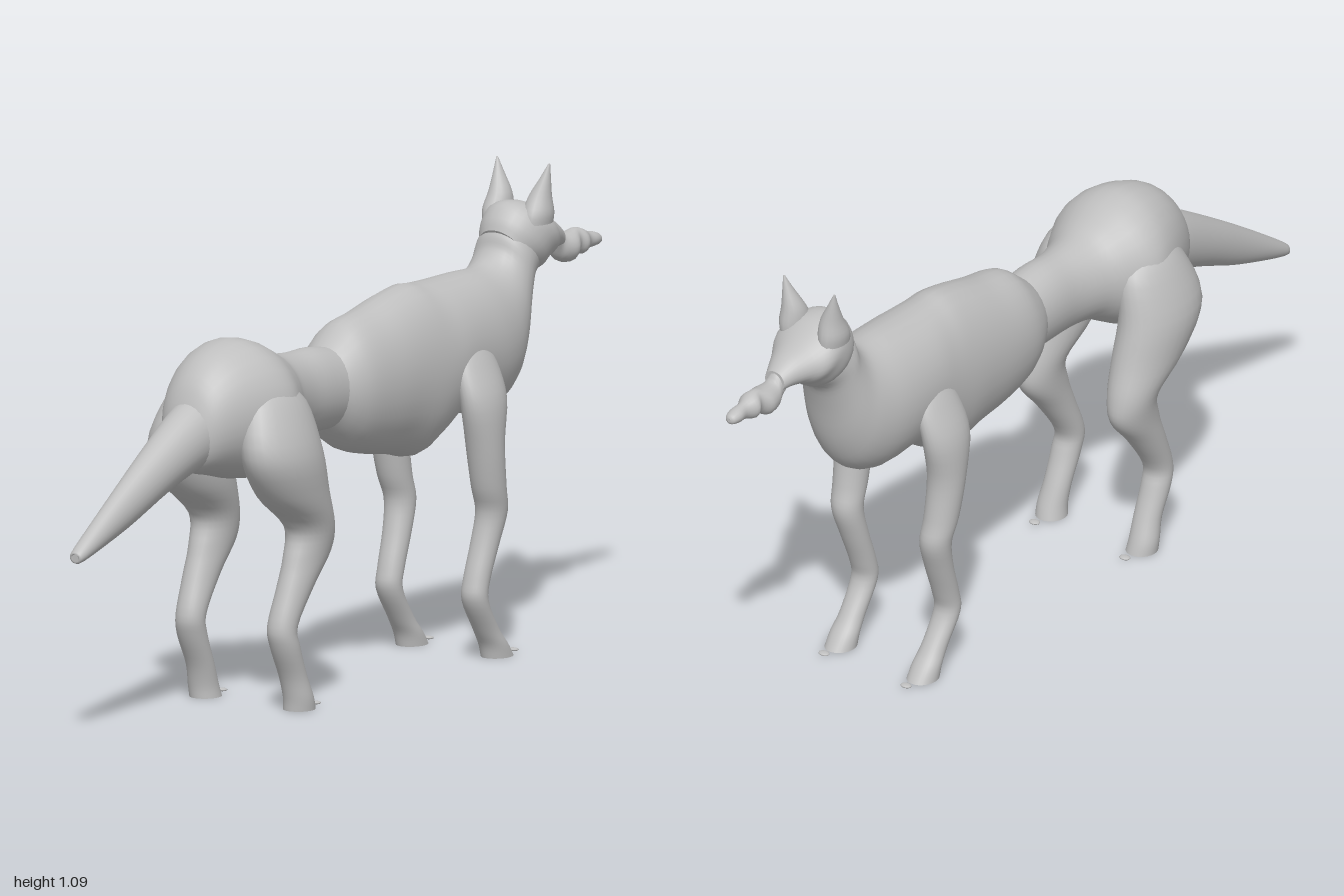
import * as THREE from 'three';

const coat = new THREE.MeshStandardMaterial({ color: 0xbfbfbf });
coat.name = 'greyCoat';

// Uniform Catmull-Rom through four numbers.
const spline = (a, b, c, d, t) =>
  0.5 * (2 * b + (c - a) * t + (2 * a - 5 * b + 4 * c - d) * t * t + (3 * b - a - 3 * c + d) * t ** 3);

// Skin over oval rings: [z1, y1, z2, y2, halfWidth, centreX].
// Points 1 and 2 are opposite ends of each ring in the side plane.
function loft(name, rings, steps = 4, segments = 28) {
  const rows = [];
  const last = rings.length - 1;
  for (let i = 0; i < last; i++) {
    const four = [rings[Math.max(i - 1, 0)], rings[i], rings[i + 1], rings[Math.min(i + 2, last)]];
    for (let s = 0; s < steps; s++) {
      rows.push([0, 1, 2, 3, 4, 5].map((k) => spline(...four.map((r) => r[k] ?? 0), s / steps)));
    }
  }
  rows.push([0, 1, 2, 3, 4, 5].map((k) => rings[last][k] ?? 0));

  const pos = [];
  const index = [];
  for (const [z1, y1, z2, y2, w, cx] of rows) {
    for (let j = 0; j < segments; j++) {
      const t = (j / segments) * Math.PI * 2;
      const c = Math.cos(t) / 2;
      pos.push(cx + Math.sin(t) * w, (y1 + y2) / 2 + (y1 - y2) * c, (z1 + z2) / 2 + (z1 - z2) * c);
    }
  }
  for (let i = 0; i < rows.length - 1; i++) {
    for (let j = 0; j < segments; j++) {
      const k = (j + 1) % segments;
      const a = i * segments + j, b = i * segments + k;
      index.push(a, b, a + segments, b, b + segments, a + segments);
    }
  }
  // End caps, with their own vertices so the edge stays crisp
  for (const [row, flip] of [[0, true], [rows.length - 1, false]]) {
    const start = pos.length / 3;
    const from = row * segments * 3;
    pos.push(...pos.slice(from, from + segments * 3));
    const [z1, y1, z2, y2, , cx] = rows[row];
    pos.push(cx, (y1 + y2) / 2, (z1 + z2) / 2);
    for (let j = 0; j < segments; j++) {
      const a = start + j, b = start + ((j + 1) % segments), m = start + segments;
      index.push(...(flip ? [b, a, m] : [a, b, m]));
    }
  }
  const geo = new THREE.BufferGeometry();
  geo.setAttribute('position', new THREE.Float32BufferAttribute(pos, 3));
  geo.setIndex(index);
  geo.computeVertexNormals();
  const mesh = new THREE.Mesh(geo, coat);
  mesh.name = name;
  return mesh;
}

// Mirror ring centres to the other side.
const onSide = (rings, side) => rings.map((r) => [...r.slice(0, 5), r[5] * side]);

export function createModel() {
  const model = new THREE.Group();
  model.name = 'slenderAnimal';

  // Rump and narrow waist
  model.add(loft('hips', [
    [0.59, 0.69, 0.59, 0.59, 0.04], [0.56, 0.77, 0.56, 0.565, 0.08],
    [0.5, 0.825, 0.5, 0.55, 0.115], [0.42, 0.85, 0.42, 0.53, 0.148],
    [0.36, 0.842, 0.36, 0.53, 0.155], [0.3, 0.815, 0.3, 0.56, 0.125],
    [0.25, 0.792, 0.25, 0.585, 0.095], [0.18, 0.782, 0.18, 0.59, 0.076],
    [0.1, 0.782, 0.1, 0.588, 0.075], [0.0, 0.765, 0.0, 0.585, 0.076],
  ]));

  // Deep ribcage, chest and neck
  model.add(loft('chestAndNeck', [
    [0.06, 0.765, 0.06, 0.59, 0.072], [0.025, 0.795, 0.025, 0.555, 0.092],
    [-0.02, 0.825, -0.02, 0.525, 0.105], [-0.1, 0.84, -0.1, 0.505, 0.112],
    [-0.18, 0.86, -0.18, 0.492, 0.115], [-0.25, 0.872, -0.26, 0.475, 0.118],
    [-0.3, 0.868, -0.32, 0.5, 0.12], [-0.36, 0.866, -0.4, 0.545, 0.122],
    [-0.46, 0.867, -0.52, 0.538, 0.12], [-0.53, 0.866, -0.595, 0.57, 0.108],
    [-0.565, 0.876, -0.64, 0.645, 0.094], [-0.59, 0.9, -0.668, 0.75, 0.082],
    [-0.6, 0.93, -0.69, 0.81, 0.077], [-0.62, 0.96, -0.72, 0.83, 0.07],
  ]));

  // Skull tapering to the muzzle
  model.add(loft('head', [
    [-0.6, 0.94, -0.66, 0.84, 0.06], [-0.612, 0.968, -0.72, 0.832, 0.08],
    [-0.645, 0.998, -0.75, 0.85, 0.086], [-0.7, 0.994, -0.765, 0.858, 0.083],
    [-0.75, 0.962, -0.785, 0.866, 0.062], [-0.8, 0.938, -0.81, 0.868, 0.042],
    [-0.835, 0.915, -0.835, 0.865, 0.028],
  ]));

  // Lumpy snout
  model.add(loft('snout', [
    [-0.81, 0.92, -0.815, 0.875, 0.03], [-0.835, 0.91, -0.83, 0.845, 0.024],
    [-0.85, 0.895, -0.85, 0.83, 0.03], [-0.88, 0.895, -0.88, 0.826, 0.035],
    [-0.905, 0.9, -0.905, 0.842, 0.022], [-0.925, 0.896, -0.925, 0.836, 0.03],
    [-0.95, 0.885, -0.95, 0.844, 0.017], [-0.975, 0.88, -0.975, 0.846, 0.019],
    [-0.994, 0.873, -0.994, 0.849, 0.014], [-1, 0.866, -1, 0.855, 0.005],
  ], 4, 18));

  // Long straight tail, from tip to base
  model.add(loft('tail', [
    [1, 0.446, 1, 0.43, 0.008], [0.99, 0.46, 0.98, 0.426, 0.02],
    [0.85, 0.558, 0.82, 0.475, 0.034], [0.7, 0.655, 0.68, 0.532, 0.05],
    [0.58, 0.725, 0.57, 0.568, 0.064], [0.48, 0.76, 0.48, 0.58, 0.075],
  ]));

  const hindLeg = [
    [0.36, 0.765, 0.43, 0.765, 0.03, 0.085], [0.29, 0.71, 0.48, 0.71, 0.058, 0.105],
    [0.27, 0.6, 0.51, 0.6, 0.074, 0.131], [0.245, 0.5, 0.45, 0.5, 0.07, 0.131],
    [0.222, 0.42, 0.355, 0.42, 0.054, 0.133], [0.225, 0.36, 0.365, 0.35, 0.045, 0.132],
    [0.285, 0.29, 0.39, 0.28, 0.039, 0.131], [0.348, 0.2, 0.418, 0.2, 0.035, 0.128],
    [0.342, 0.15, 0.41, 0.15, 0.035, 0.13], [0.315, 0.08, 0.378, 0.08, 0.033, 0.13],
    [0.295, 0.03, 0.365, 0.03, 0.035, 0.133], [0.285, 0, 0.362, 0, 0.036, 0.131],
  ];
  const frontLeg = [
    [-0.42, 0.73, -0.35, 0.73, 0.015, 0.095], [-0.45, 0.68, -0.32, 0.68, 0.032, 0.108],
    [-0.45, 0.6, -0.312, 0.6, 0.042, 0.131], [-0.43, 0.5, -0.335, 0.5, 0.043, 0.134],
    [-0.44, 0.4, -0.358, 0.4, 0.04, 0.132], [-0.452, 0.34, -0.378, 0.34, 0.037, 0.128],
    [-0.43, 0.27, -0.365, 0.27, 0.034, 0.123], [-0.4, 0.19, -0.34, 0.19, 0.032, 0.12],
    [-0.392, 0.14, -0.335, 0.14, 0.032, 0.12], [-0.435, 0.07, -0.375, 0.07, 0.03, 0.119],
    [-0.468, 0.03, -0.4, 0.03, 0.034, 0.119], [-0.49, 0, -0.408, 0, 0.035, 0.119],
  ];
  const ear = [
    [-0.645, 0.95, -0.735, 0.95, 0.03, 0.055], [-0.65, 0.975, -0.735, 0.975, 0.032, 0.056],
    [-0.67, 1.01, -0.728, 1.01, 0.026, 0.056], [-0.692, 1.05, -0.72, 1.05, 0.013, 0.065],
    [-0.709, 1.085, -0.713, 1.085, 0.002, 0.073],
  ];

  for (const [side, label] of [[1, 'left'], [-1, 'right']]) {
    model.add(loft(`${label}HindLeg`, onSide(hindLeg, side)));
    model.add(loft(`${label}FrontLeg`, onSide(frontLeg, side)));
    model.add(loft(`${label}Ear`, onSide(ear, side), 3, 16));

    // Slim claws just ahead of each foot
    for (const [part, x, z] of [['HindClaw', 0.131, 0.262], ['FrontClaw', 0.119, -0.51]]) {
      const claw = new THREE.Mesh(new THREE.SphereGeometry(1, 12, 8), coat);
      claw.name = label + part;
      claw.scale.set(0.014, 0.004, 0.011);
      claw.position.set(x * side, 0.005, z);
      model.add(claw);
    }
  }
  return model;
}
